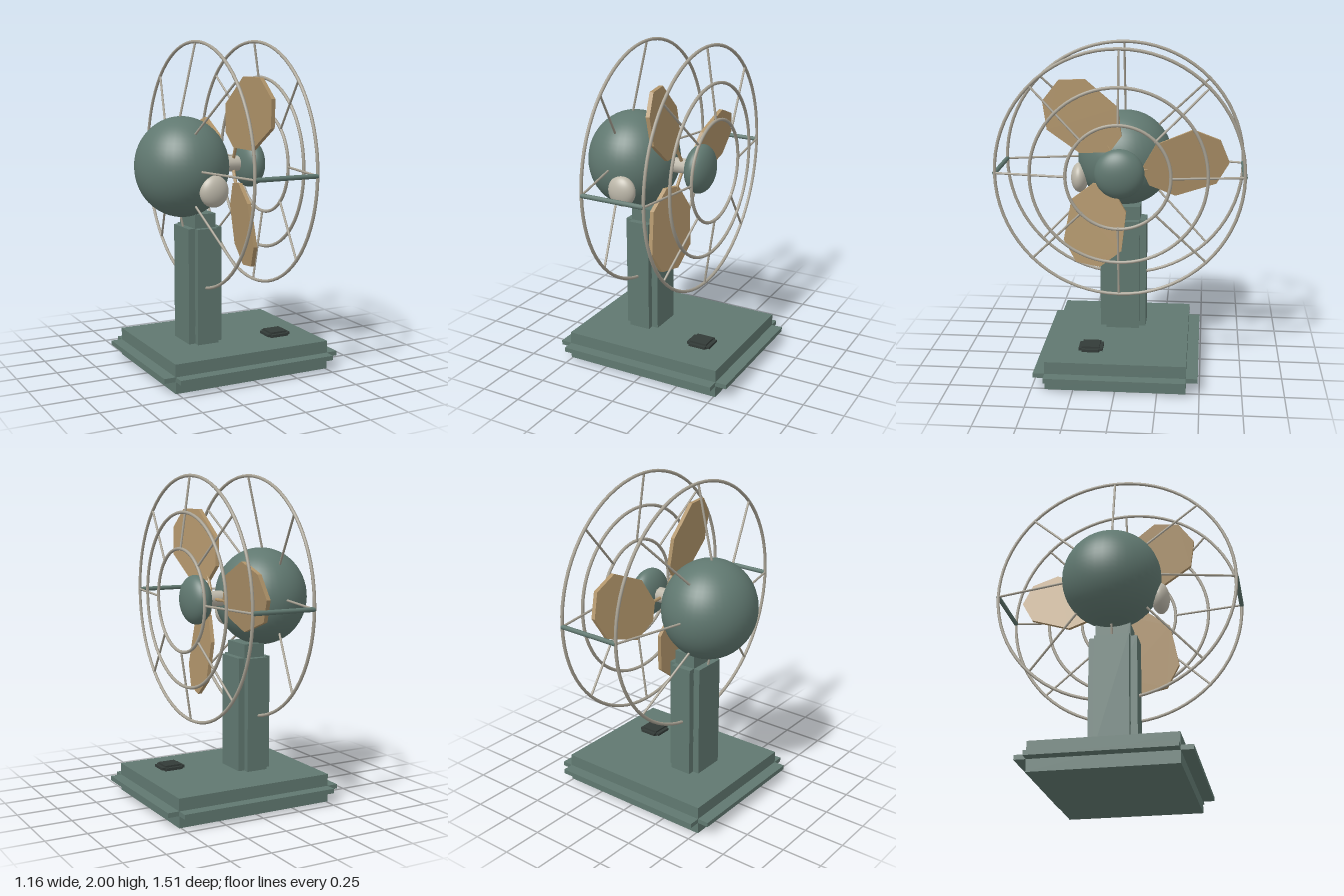
import * as THREE from 'three';

const mat = (color, flatShading = false) => new THREE.MeshStandardMaterial({ color, flatShading });

export function createModel() {
  const green = mat(0x607870), wire = mat(0xa8a294), tan = mat(0xb0946a, true);
  const pale = mat(0xbdb8aa), dark = mat(0x333b38);
  const model = new THREE.Group();
  model.name = 'deskFan';

  const add = (parent, name, geometry, material, x = 0, y = 0, z = 0) => {
    const mesh = new THREE.Mesh(geometry, material);
    mesh.name = name;
    mesh.position.set(x, y, z);
    parent.add(mesh);
    return mesh;
  };
  const group = (parent, name, x = 0, y = 0, z = 0) => {
    const g = new THREE.Group();
    g.name = name;
    g.position.set(x, y, z);
    parent.add(g);
    return g;
  };
  // Box standing between heights y0 and y1
  const slab = (parent, name, material, w, d, y0, y1) =>
    add(parent, name, new THREE.BoxGeometry(w, y1 - y0, d), material, 0, (y0 + y1) / 2, 0);
  const ellipsoid = (parent, name, material, rx, ry, rz, x, y, z) =>
    add(parent, name, new THREE.SphereGeometry(1, 40, 28).scale(rx, ry, rz), material, x, y, z);
  // Straight rod between two points
  const rod = (parent, name, material, a, b, r) => {
    const dir = b.clone().sub(a);
    const mesh = add(parent, name, new THREE.CylinderGeometry(r, r, dir.length(), 10), material);
    mesh.position.copy(a).add(b).multiplyScalar(0.5);
    mesh.quaternion.setFromUnitVectors(new THREE.Vector3(0, 1, 0), dir.normalize());
    return mesh;
  };

  // Base block with a rim band on each side, open at the corners
  const base = group(model, 'base');
  slab(base, 'baseBlock', green, 1.02, 0.84, 0, 0.175);
  slab(base, 'sideRim', green, 1.16, 0.839, 0.072, 0.1);
  slab(base, 'frontBackRim', green, 1.019, 0.98, 0.072, 0.1);

  // Post with notched corners and a raised core
  const post = group(model, 'post', -0.167, 0, 0);
  slab(post, 'postCore', green, 0.138, 0.21, 0.17, 0.97);
  slab(post, 'postWide', green, 0.22, 0.209, 0.17, 0.885);
  slab(post, 'postDeep', green, 0.137, 0.29, 0.17, 0.885);

  // Switch, a small version of the same notched block
  const knob = group(model, 'switch', 0.288, 0, 0.162);
  slab(knob, 'switchBlock', dark, 0.11, 0.106, 0.17, 0.21);
  slab(knob, 'switchSideRim', dark, 0.154, 0.105, 0.183, 0.199);
  slab(knob, 'switchFrontRim', dark, 0.109, 0.146, 0.183, 0.199);

  // Motor housing and its side knob
  ellipsoid(model, 'motorHousing', green, 0.282, 0.302, 0.3, -0.272, 1.25, 0);
  ellipsoid(model, 'sideKnob', pale, 0.09, 0.095, 0.055, -0.196, 1.132, 0.283);

  // Fan head: its local z axis points along the model's +x
  const head = group(model, 'fanHead', 0, 1.25, 0);
  head.rotation.y = Math.PI / 2;
  const at = (r, angle, z) => new THREE.Vector3(r * Math.cos(angle), r * Math.sin(angle), z);

  rod(head, 'shaft', pale, at(0, 0, -0.04), at(0, 0, 0.16), 0.048);
  ellipsoid(head, 'hub', green, 0.15, 0.15, 0.082, 0, 0, 0.185);

  // Three pitched blades on short arms
  const outline = [[0.125, 0.005], [0.17, -0.1], [0.33, -0.165], [0.575, -0.08],
    [0.65, 0.055], [0.593, 0.195], [0.432, 0.257], [0.21, 0.16]];
  const shape = new THREE.Shape(outline.map(([u, v]) => new THREE.Vector2(u, v)));
  const bladeGeometry = new THREE.ExtrudeGeometry(shape, { depth: 0.025, bevelEnabled: false });
  const p = bladeGeometry.attributes.position;
  for (let i = 0; i < p.count; i++) p.setZ(i, p.getZ(i) + 0.042 + 0.19 * p.getY(i));
  bladeGeometry.computeVertexNormals();
  for (let k = 0; k < 3; k++) {
    const angle = (k * 2 * Math.PI) / 3;
    add(head, 'blade', bladeGeometry, tan).rotation.z = angle;
    rod(head, 'bladeArm', tan, at(0.02, angle, 0.07), at(0.19, angle, 0.055), 0.01);
  }

  // Wire guard: rings, radial spokes and two cross bars
  const guard = group(head, 'guard');
  for (const [radius, z] of [[0.74, -0.178], [0.74, 0.22], [0.525, 0.262], [0.31, 0.285]]) {
    add(guard, 'guardRing', new THREE.TorusGeometry(radius, 0.01, 8, 72), wire, 0, 0, z);
  }
  for (let k = 0; k < 8; k++) {
    const angle = (k * Math.PI) / 4;
    rod(guard, 'frontSpoke', wire, at(0.74, angle, 0.22), at(0.3, angle, 0.285), 0.007);
    rod(guard, 'rearSpoke', wire, at(0.74, angle, -0.178), at(0.3, angle, -0.28), 0.007);
  }
  for (const angle of [0, Math.PI]) {
    rod(guard, 'crossBar', green, at(0.74, angle, -0.178), at(0.74, angle, 0.22), 0.014);
  }

  return model;
}
